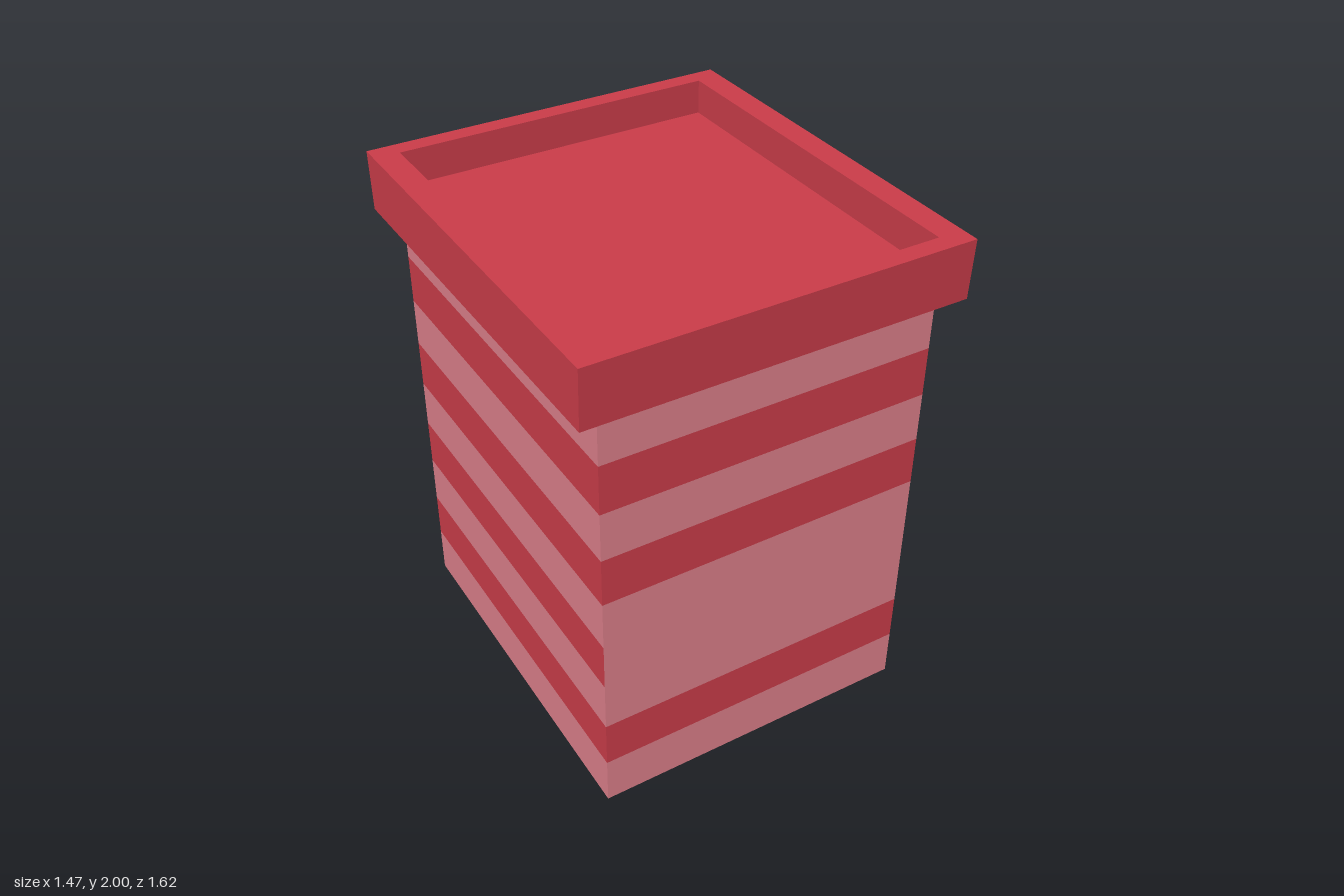
import * as THREE from 'three';

const paint = (color) => new THREE.MeshStandardMaterial({ color, flatShading: true });
const RED = paint(0xcc3d4a), PINK = paint(0xde808b), CREAM = paint(0xdcbfab);
const DOOR = paint(0x8f243a), GLASS = paint(0x91bdc9);
const WALL_X = 0.647, WALL_Z = 0.747;

function add(group, geometry, material, name) {
  const mesh = new THREE.Mesh(geometry, material);
  mesh.name = name;
  group.add(mesh);
  return mesh;
}

// Quads joining two rectangular rings [halfX, y, halfZ]; sides: 0 front, 1 +x, 2 back, 3 -x
function band(a, b, sides = [0, 1, 2, 3]) {
  const corners = ([x, y, z]) => [[-x, y, z], [x, y, z], [x, y, -z], [-x, y, -z]];
  const p = corners(a), q = corners(b), pos = [];
  for (const i of sides) {
    const j = (i + 1) % 4;
    pos.push(...p[i], ...p[j], ...q[j], ...p[i], ...q[j], ...q[i]);
  }
  const g = new THREE.BufferGeometry();
  g.setAttribute('position', new THREE.Float32BufferAttribute(pos, 3));
  g.computeVertexNormals();
  return g;
}

// Horizontal rectangle facing up or down
function slab(halfX, y, halfZ, up) {
  return new THREE.PlaneGeometry(halfX * 2, halfZ * 2)
    .rotateX(up ? -Math.PI / 2 : Math.PI / 2).translate(0, y, 0);
}

// Panel drawn as (u, y) corners on the +x wall, where u = -z, pushed outwards
function panel(outline, holes, depth) {
  const points = (list) => list.map(([u, y]) => new THREE.Vector2(u, y));
  const shape = new THREE.Shape(points(outline));
  shape.holes = holes.map((h) => new THREE.Path(points(h)));
  return new THREE.ExtrudeGeometry(shape, { depth, bevelEnabled: false })
    .rotateY(Math.PI / 2).translate(WALL_X, 0, 0);
}

const rect = (u0, y0, u1, y1) => [[u0, y0], [u1, y0], [u1, y1], [u0, y1]];

// Slightly crooked four-pane window; corners run bottom left, bottom right, top right, top left
function makeWindow(name, c, midU, midY, depth) {
  const g = new THREE.Group();
  g.name = name;
  const t = 0.03;
  const inner = [[c[0][0] + t, c[0][1] + t], [c[1][0] - t, c[1][1] + t],
    [c[2][0] - t, c[2][1] - t], [c[3][0] + t, c[3][1] - t]];
  add(g, panel(c, [inner], depth), CREAM, 'windowFrame');
  add(g, panel(inner, [], 0.008), GLASS, 'windowGlass');
  const [l, r] = [inner[0][0], inner[1][0]], h = 0.017;
  add(g, panel(rect(midU - h, inner[0][1], midU + h, inner[2][1]), [], depth - 0.014), CREAM, 'uprightBar');
  add(g, panel([[l, midY - 0.007 - h], [r, midY + 0.005 - h], [r, midY + 0.005 + h], [l, midY - 0.007 + h]],
    [], depth - 0.012), CREAM, 'crossBar');
  return g;
}

export function createModel() {
  const model = new THREE.Group();
  model.name = 'stripedHouse';

  // Striped walls; the front has one plain wide band in the middle
  const levels = [0, 0.2, 0.392, 0.595, 0.787, 0.985, 1.18, 1.375, 1.57, 1.77];
  const walls = new THREE.Group();
  walls.name = 'walls';
  for (let i = 0; i < levels.length - 1; i++) {
    const lo = [WALL_X, levels[i], WALL_Z], hi = [WALL_X, levels[i + 1], WALL_Z];
    const dark = i % 2 === 1;
    if (i === 3) {
      add(walls, band(lo, hi, [1, 2, 3]), RED, 'darkStripe');
      add(walls, band(lo, hi, [0]), PINK, 'plainFrontStripe');
    } else add(walls, band(lo, hi), dark ? RED : PINK, dark ? 'darkStripe' : 'lightStripe');
  }
  add(walls, slab(WALL_X, 0, WALL_Z, false), PINK, 'base');
  model.add(walls);

  // Overhanging parapet around a sunken flat roof
  const roof = new THREE.Group();
  roof.name = 'roof';
  const rings = [[WALL_X, 1.77, WALL_Z], [0.735, 1.77, 0.803], [0.735, 2, 0.81],
    [0.635, 2, 0.738], [0.635, 1.865, 0.738]];
  ['overhang', 'parapetOuter', 'parapetTop', 'parapetInner'].forEach((name, i) =>
    add(roof, band(rings[i], rings[i + 1]), i ? RED : PINK, name));
  add(roof, slab(0.635, 1.865, 0.738, true), RED, 'roofFloor');
  model.add(roof);

  // Windows
  model.add(
    makeWindow('upperFrontWindow', [[-0.58, 1.06], [-0.083, 1.06], [-0.083, 1.455], [-0.577, 1.46]], -0.324, 1.27, 0.048),
    makeWindow('upperBackWindow', [[0.109, 1.06], [0.598, 1.06], [0.603, 1.455], [0.114, 1.46]], 0.358, 1.27, 0.048),
    makeWindow('lowerWindow', [[-0.62, 0.255], [-0.04, 0.262], [-0.035, 0.68], [-0.614, 0.69]], -0.316, 0.485, 0.043));

  // Door with two panes
  const door = new THREE.Group();
  door.name = 'door';
  const panes = [rect(0.175, 0.065, 0.492, 0.3), rect(0.175, 0.365, 0.492, 0.68)];
  add(door, panel([[0.122, 0], [0.548, 0], [0.548, 0.745], [0.122, 0.752]], panes, 0.038), DOOR, 'doorFrame');
  panes.forEach((p) => add(door, panel(p, [], 0.008), GLASS, 'doorGlass'));
  model.add(door);

  return model;
}
